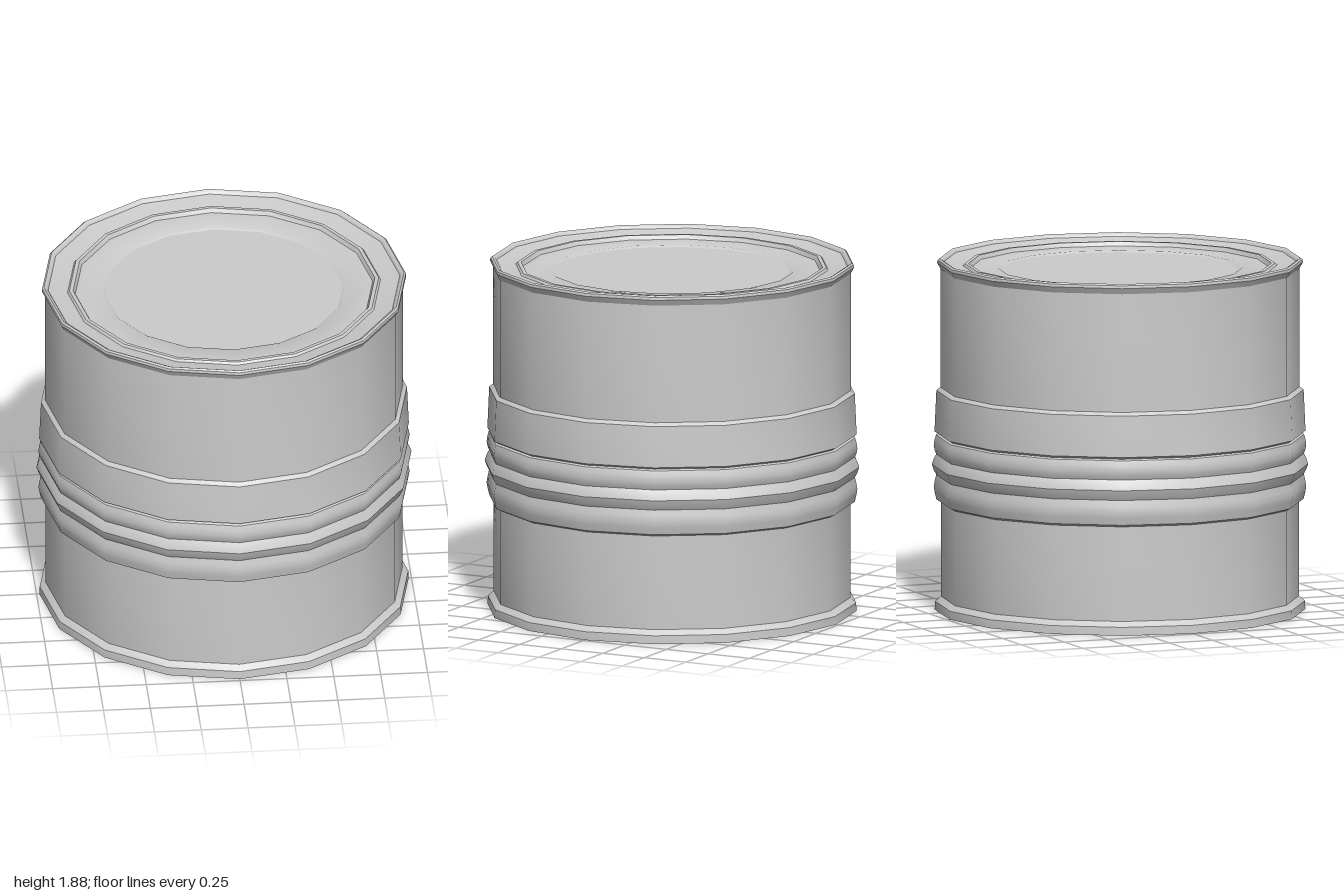
import * as THREE from 'three';
import { toCreasedNormals } from 'three/addons/utils/BufferGeometryUtils.js';

const SIDES = 16;

export function createModel() {
  const group = new THREE.Group();
  group.name = 'barrel';
  const material = new THREE.MeshStandardMaterial({ color: 0xcccccc });

  const add = (name, geometry) => {
    const mesh = new THREE.Mesh(geometry, material);
    mesh.name = name;
    group.add(mesh);
    return mesh;
  };
  // Revolves [radius, height] pairs, listed bottom to top on the outside
  const ring = (name, profile) => {
    const points = profile.map(([r, y]) => new THREE.Vector2(r, y));
    return add(name, toCreasedNormals(new THREE.LatheGeometry(points, SIDES), 0.55));
  };
  const disc = (name, radius, y, facing) => {
    const geometry = new THREE.CircleGeometry(radius, SIDES);
    geometry.rotateX(-facing * Math.PI / 2).translate(0, y, 0);
    return add(name, geometry);
  };

  // Plain walls below and above the middle bands
  ring('lowerWall', [[0.952, 0.07], [0.952, 0.58]]);
  ring('upperWall', [[0.955, 1.195], [0.955, 1.83]]);

  // Flared foot and underside
  ring('footRing', [[0.985, 0], [0.983, 0.045], [0.952, 0.072]]);
  disc('bottom', 0.985, 0, -1);

  // Three rounded ribs
  ring('ribs', [
    [0.952, 0.58], [0.976, 0.592], [0.985, 0.63], [0.99, 0.66], [0.985, 0.69], [0.977, 0.725],
    [0.99, 0.75], [1, 0.78], [0.99, 0.81], [0.977, 0.835],
    [0.985, 0.855], [0.99, 0.88], [0.986, 0.91], [0.978, 0.938], [0.965, 0.945],
  ]);

  // Tapered collar above the ribs
  ring('collar', [[0.965, 0.945], [0.986, 0.957], [0.976, 1.178], [0.955, 1.195]]);

  // Rolled rim at the top
  ring('rim', [[0.955, 1.83], [0.972, 1.862], [0.97, 1.877], [0.96, 1.885], [0.945, 1.877], [0.938, 1.866]]);

  // Recessed lid with a raised bead and a shallow central panel
  ring('lid', [
    [0.938, 1.866], [0.835, 1.846], [0.825, 1.858], [0.805, 1.858], [0.793, 1.836],
    [0.65, 1.834], [0.635, 1.825],
  ]);
  disc('lidPanel', 0.635, 1.825, 1);

  return group;
}
